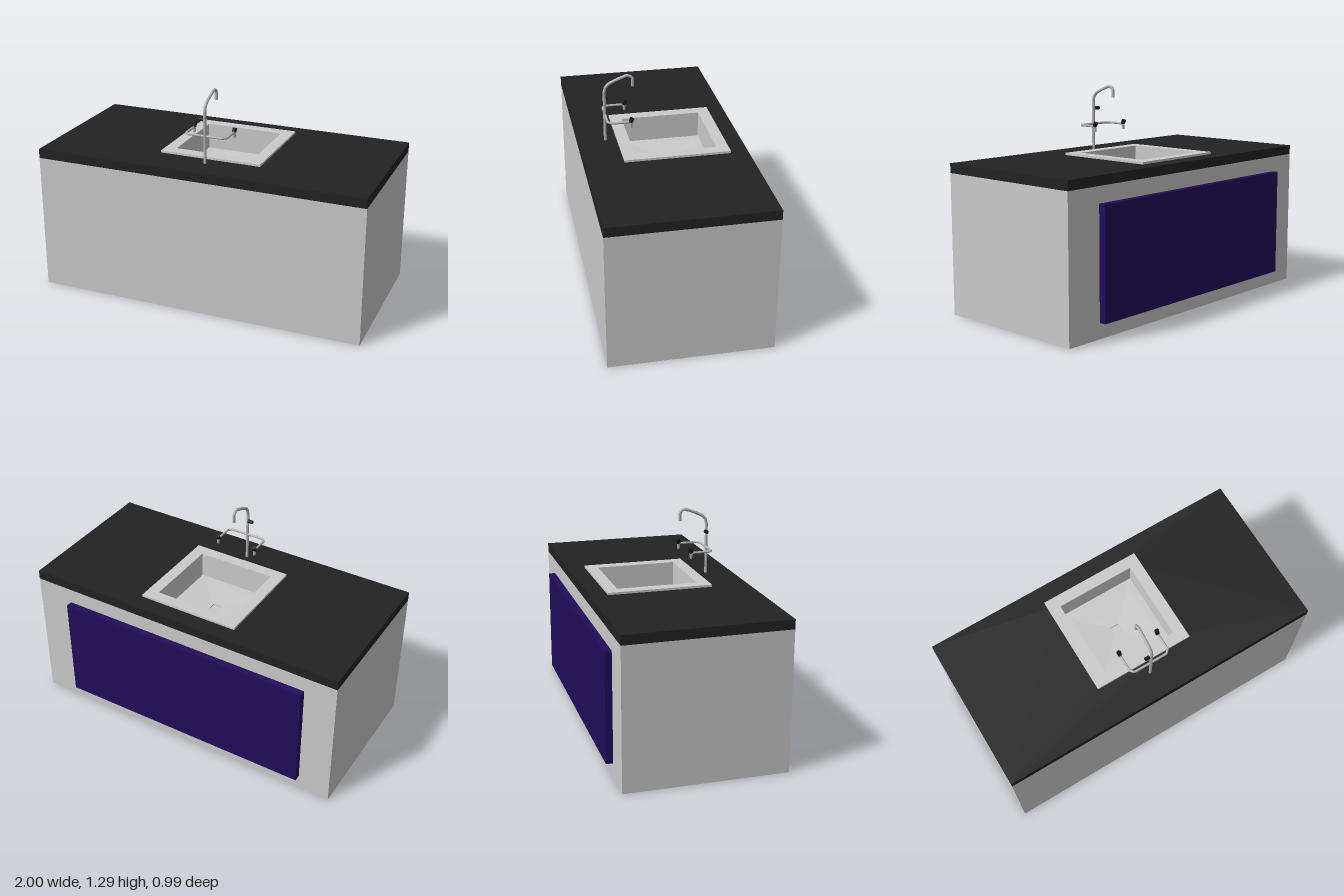
import * as THREE from 'three';

const material = (name, color, extra = {}) => {
  const m = new THREE.MeshStandardMaterial({ color, ...extra });
  m.name = name;
  return m;
};

export function createModel() {
  const group = new THREE.Group();
  const cabinetGrey = material('cabinetGrey', 0xcacaca);
  const stone = material('blackStone', 0x222222);
  const panelBlue = material('panelIndigo', 0x210c5a);
  const steel = material('sinkSteel', 0xcbcbcb, { flatShading: true, side: THREE.DoubleSide });
  const chrome = material('tapChrome', 0xb2b2b2, { side: THREE.DoubleSide });
  const black = material('handleBlack', 0x161616);

  const add = (name, geometry, mat, x = 0, y = 0, z = 0) => {
    const mesh = new THREE.Mesh(geometry, mat);
    mesh.name = name;
    mesh.position.set(x, y, z);
    group.add(mesh);
    return mesh;
  };

  const zBack = -0.453, zFront = 0.493;
  const depth = zFront - zBack, zMid = (zFront + zBack) / 2;
  const sinkX = 0.004, sinkZ = -0.04;

  // Cabinet: a box left open on top, under the worktop
  const cabinet = new THREE.BoxGeometry(2, 0.828, depth);
  cabinet.setIndex([...cabinet.index.array].filter((_, i) => i < 12 || i >= 18));
  cabinet.clearGroups();
  add('cabinet', cabinet, cabinetGrey, 0, 0.414, zMid);

  // Worktop with a square cut-out for the sink
  const slab = new THREE.Shape([[-1, -zFront], [1, -zFront], [1, -zBack], [-1, -zBack]]
    .map(([x, y]) => new THREE.Vector2(x, y)));
  const cut = 0.26;
  slab.holes.push(new THREE.Path([[-1, -1], [-1, 1], [1, 1], [1, -1]]
    .map(([x, y]) => new THREE.Vector2(sinkX + x * cut, -sinkZ + y * cut))));
  const top = new THREE.ExtrudeGeometry(slab, { depth: 0.056, bevelEnabled: false });
  top.rotateX(-Math.PI / 2);
  add('worktop', top, stone, 0, 0.828, 0);

  // Panel on the back face
  add('backPanel', new THREE.BoxGeometry(1.58, 0.645, 0.042), panelBlue, -0.018, 0.4125, -0.472);

  // Sink: square rings for rim, walls, sloping floor and drain
  const profile = [
    [0.31, 0.884], [0.31, 0.897], [0.24, 0.897], [0.24, 0.74],
    [0.2, 0.74], [0.026, 0.73], [0.026, 0.722], [0, 0.722],
  ].map(([half, y]) => new THREE.Vector2(half * Math.SQRT2, y));
  const sink = new THREE.LatheGeometry(profile, 4, Math.PI / 4);
  add('sink', sink, steel, sinkX, 0, sinkZ);

  // Tap tubes with straight runs and tight bends
  const tube = (name, points, radius) => {
    const curve = new THREE.CatmullRomCurve3(
      points.map((p) => new THREE.Vector3(...p)), false, 'catmullrom', 0);
    return add(name, new THREE.TubeGeometry(curve, 90, radius, 10), chrome);
  };
  const tapX = 0.004, tapZ = 0.335;
  tube('spout', [
    [0.88, tapZ], [1.19, tapZ], [1.217, 0.328], [1.239, 0.308], [1.26, 0.265],
    [1.284, 0.2], [1.275, 0.178], [1.263, 0.168], [1.215, 0.168],
  ].map(([y, z]) => [tapX, y, z]), 0.009);

  // Crossbar bending forward into two outlets
  const half = 0.125, barY = 1.046;
  const arm = [[half, 1.012, 0.2], [half, 1.036, 0.2], [half, barY, 0.212],
    [half, barY, 0.312], [half - 0.02, barY, 0.332]];
  const place = (s) => ([x, y, z]) => [tapX + s * x, y, z];
  tube('crossbar', [...arm.map(place(1)), ...arm.map(place(-1)).reverse()], 0.007);

  // Handles above the outlets
  for (const s of [-1, 1]) {
    const handle = add(s > 0 ? 'leftHandle' : 'rightHandle',
      new THREE.CylinderGeometry(0.014, 0.012, 0.026, 12), black, tapX + s * half, 1.057, 0.198);
    handle.rotation.x = -0.45;
    add('outlet', new THREE.CylinderGeometry(0.01, 0.008, 0.024, 10), chrome,
      tapX + s * half, 1.03, 0.2);
  }

  // Knob on the side of the column
  const knob = add('columnKnob', new THREE.CylinderGeometry(0.011, 0.011, 0.03, 12),
    black, tapX - 0.023, 1.143, 0.327);
  knob.rotation.z = Math.PI / 2;

  return group;
}
